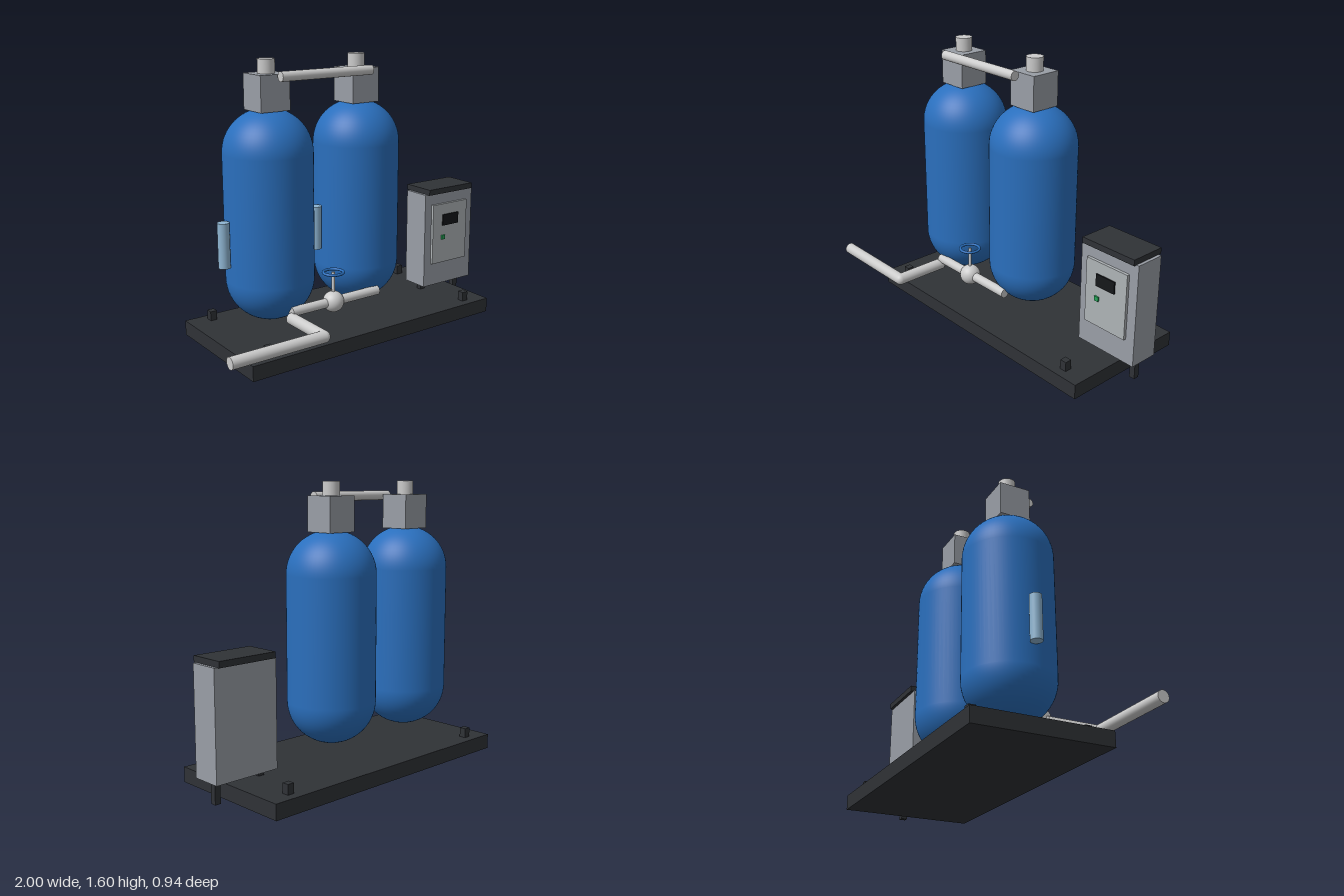
import * as THREE from 'three';

const material = (color) => new THREE.MeshStandardMaterial({ color });
const DARK = material(0x2f3236);
const BLUE = material(0x2a6fbd);
const PALE_BLUE = material(0x8fb6d3);
const STEEL = material(0x999ea6);
const PANEL = material(0xaeb3b6);
const PIPE = material(0xcccccc);
const BLACK = material(0x15171a);
const GREEN = material(0x27a65a);

const ROW_Z = -0.09; // shared centre line of tanks and cabinet

export function createModel() {
  const model = new THREE.Group();
  model.name = 'twinTankWaterTreatmentSkid';

  const add = (name, geometry, mat, x, y, z) => {
    const mesh = new THREE.Mesh(geometry, mat);
    mesh.name = name;
    mesh.position.set(x, y, z);
    model.add(mesh);
    return mesh;
  };
  const box = (name, mat, [w, h, d], [x, y, z]) =>
    add(name, new THREE.BoxGeometry(w, h, d), mat, x, y, z);
  const upright = (name, mat, r, y0, y1, x, z) =>
    add(name, new THREE.CylinderGeometry(r, r, y1 - y0, 32), mat, x, (y0 + y1) / 2, z);
  // Straight round bar between two points
  const bar = (name, mat, r, from, to) => {
    const a = new THREE.Vector3(...from);
    const b = new THREE.Vector3(...to);
    const mid = a.clone().add(b).multiplyScalar(0.5);
    const mesh = add(name, new THREE.CylinderGeometry(r, r, a.distanceTo(b), 32), mat, mid.x, mid.y, mid.z);
    mesh.quaternion.setFromUnitVectors(new THREE.Vector3(0, 1, 0), b.sub(a).normalize());
    return mesh;
  };

  // Base plate with four corner lugs
  box('basePlate', DARK, [1.666, 0.085, 0.765], [0.04, 0.0425, -0.0925]);
  for (const x of [-0.655, 0.735])
    for (const z of [-0.405, 0.22]) box('cornerLug', DARK, [0.04, 0.055, 0.04], [x, 0.1125, z]);

  // Tank profile: straight shell between two domes
  const radius = 0.247, dome = 0.24, bottom = 0.157, top = 1.338, steps = 16;
  const profile = [];
  for (let i = 0; i <= steps; i++) {
    const a = (i / steps) * Math.PI / 2;
    profile.push(new THREE.Vector2(radius * Math.sin(a), bottom + dome * (1 - Math.cos(a))));
  }
  for (let i = steps; i >= 0; i--) {
    const a = (i / steps) * Math.PI / 2;
    profile.push(new THREE.Vector2(radius * Math.sin(a), top - dome * (1 - Math.cos(a))));
  }
  const tankGeometry = new THREE.LatheGeometry(profile, 64);

  // Each tank carries a control head, a cap and a sight tube
  for (const x of [-0.448, 0.144]) {
    add('tank', tankGeometry, BLUE, x, 0, ROW_Z);
    box('controlHead', STEEL, [0.18, 0.195, 0.178], [x, 1.4225, ROW_Z + 0.002]);
    upright('headCap', PIPE, 0.047, 1.518, 1.597, x, ROW_Z);
    upright('sightTube', PALE_BLUE, 0.033, 0.5, 0.75, x - 0.284, ROW_Z);
  }

  // Manifold pipes joining the tanks
  bar('upperManifold', PIPE, 0.027, [-0.447, 1.513, 0.05], [0.143, 1.513, 0.05]);
  bar('lowerManifold', PIPE, 0.027, [-0.447, 0.247, 0.12], [0.143, 0.247, 0.12]);

  // Valve with handwheel
  add('valveBody', new THREE.SphereGeometry(0.06, 32, 24), PIPE, -0.168, 0.247, 0.12);
  upright('valveStem', PIPE, 0.009, 0.247, 0.42, -0.168, 0.12);
  const wheel = add('handwheel', new THREE.TorusGeometry(0.056, 0.008, 12, 40), BLUE, -0.168, 0.418, 0.12);
  wheel.rotation.x = Math.PI / 2;

  // Outlet pipe with a rounded corner
  bar('outletBranch', PIPE, 0.033, [-0.448, 0.211, 0.12], [-0.448, 0.211, 0.43]);
  add('outletElbow', new THREE.SphereGeometry(0.033, 32, 24), PIPE, -0.448, 0.211, 0.43);
  bar('outletPipe', PIPE, 0.033, [-0.448, 0.211, 0.43], [-1, 0.211, 0.43]);

  // Control cabinet with lid, door, display and button
  const cx = 0.806;
  box('cabinet', STEEL, [0.386, 0.59, 0.172], [cx, 0.422, ROW_Z]);
  box('cabinetLid', DARK, [0.352, 0.034, 0.208], [cx, 0.733, ROW_Z]);
  box('cabinetDoor', PANEL, [0.278, 0.378, 0.018], [cx - 0.002, 0.459, 0.004]);
  box('display', BLACK, [0.127, 0.07, 0.01], [cx - 0.002, 0.545, 0.016]);
  box('button', GREEN, [0.027, 0.027, 0.01], [0.748, 0.434, 0.016]);
  for (const side of [-1, 1])
    box('cabinetLeg', DARK, [0.034, 0.13, 0.034], [cx - 0.002 + side * 0.139, 0.065, ROW_Z]);

  return model;
}
